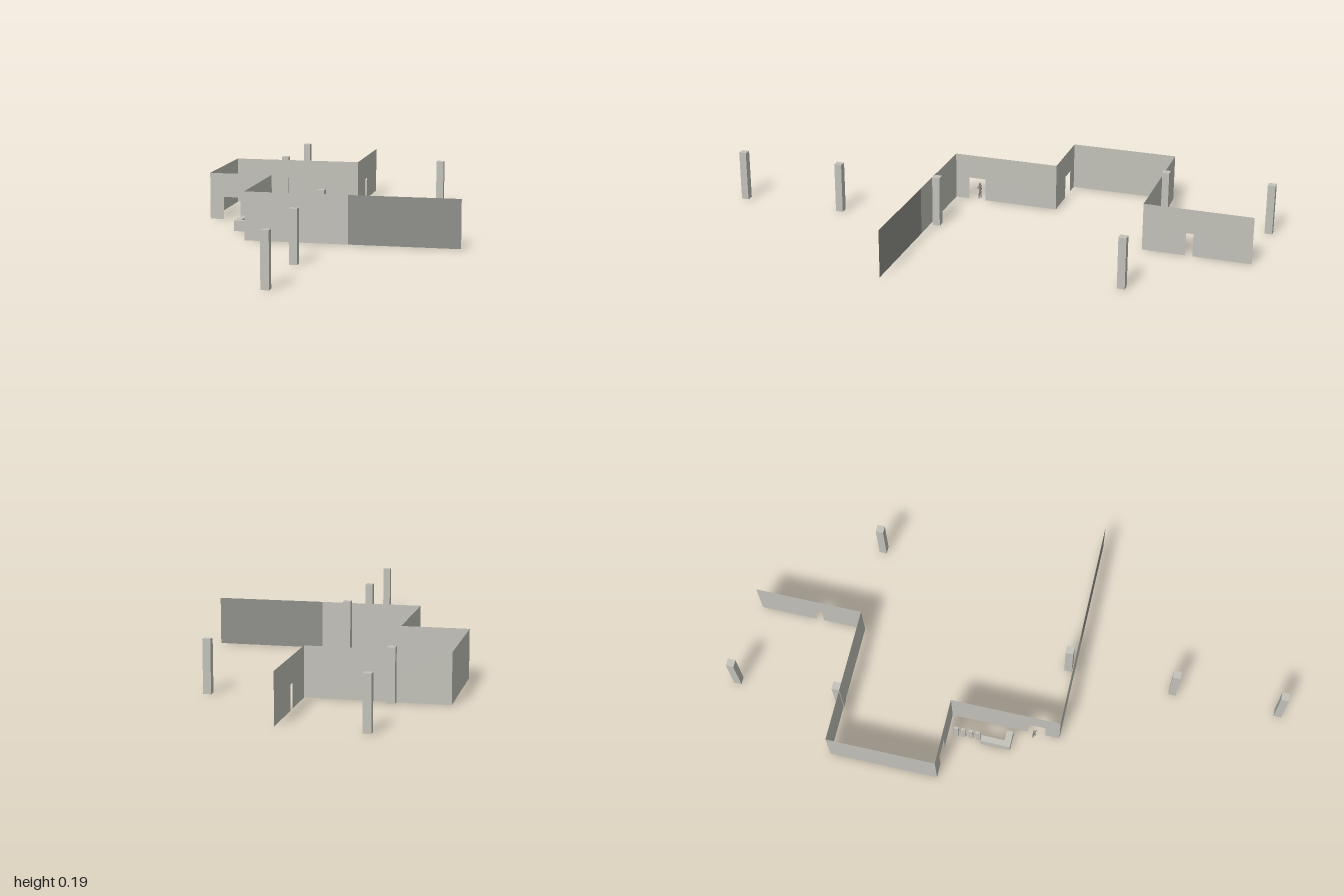
import * as THREE from 'three';

const wallGrey = new THREE.MeshStandardMaterial({ name: 'light grey', color: 0xc2c1b9, side: THREE.DoubleSide });
const darkGrey = new THREE.MeshStandardMaterial({ name: 'dark grey', color: 0x8e8f89, side: THREE.DoubleSide });

const WALL_H = 0.178, DOOR_H = 0.086, COLUMN_H = 0.19, COLUMN_W = 0.028;

function add(parent, name, geometry, material, x = 0, y = 0, z = 0) {
  const mesh = new THREE.Mesh(geometry, material);
  mesh.name = name;
  mesh.position.set(x, y, z);
  parent.add(mesh);
  return mesh;
}

// Thin sheet wall from a to b (x, z), with an optional doorway [start, end] along it
function addWall(parent, name, a, b, material, door) {
  const dx = b[0] - a[0], dz = b[1] - a[1], length = Math.hypot(dx, dz);
  const outline = [[0, 0]];
  if (door) outline.push([door[0], 0], [door[0], DOOR_H], [door[1], DOOR_H], [door[1], 0]);
  outline.push([length, 0], [length, WALL_H], [0, WALL_H]);
  const shape = new THREE.Shape(outline.map(p => new THREE.Vector2(...p)));
  const wall = add(parent, name, new THREE.ShapeGeometry(shape), material, a[0], 0, a[1]);
  wall.rotation.y = Math.atan2(-dz, dx);
}

// Tapered limb between two points
function addLimb(parent, name, from, to, r0, r1) {
  const a = new THREE.Vector3(...from), b = new THREE.Vector3(...to);
  const limb = add(parent, name, new THREE.CylinderGeometry(r1, r0, a.distanceTo(b), 6), darkGrey);
  limb.position.copy(a).lerp(b, 0.5);
  limb.quaternion.setFromUnitVectors(new THREE.Vector3(0, 1, 0), b.sub(a).normalize());
}

function createPerson() {
  const person = new THREE.Group();
  person.name = 'person';
  add(person, 'head', new THREE.SphereGeometry(0.0042, 8, 6), darkGrey, 0, 0.0605, 0).scale.y = 1.15;
  addLimb(person, 'torso', [0, 0.031, 0], [0, 0.055, 0], 0.0042, 0.005);
  addLimb(person, 'legLeft', [0.005, 0, 0], [0.002, 0.032, 0], 0.0018, 0.003);
  addLimb(person, 'legRight', [-0.006, 0, 0], [-0.002, 0.032, 0], 0.0018, 0.003);
  addLimb(person, 'upperArmLeft', [0.004, 0.053, 0], [0.01, 0.042, 0], 0.002, 0.0015);
  addLimb(person, 'forearmLeft', [0.01, 0.042, 0], [0.011, 0.05, 0], 0.0015, 0.0012);
  addLimb(person, 'armRight', [-0.004, 0.053, 0], [-0.008, 0.032, 0], 0.002, 0.0012);
  person.position.set(-0.283, 0, 0.13);
  person.rotation.y = -0.6;
  return person;
}

export function createModel() {
  const model = new THREE.Group();
  model.name = 'lobby';

  // Stepped run of walls
  const walls = new THREE.Group();
  walls.name = 'walls';
  model.add(walls);
  addWall(walls, 'rearWall', [-0.014, -0.978], [-0.014, -0.58], wallGrey, [0.213, 0.239]);
  addWall(walls, 'backWall', [-0.014, -0.58], [-0.513, -0.58], wallGrey);
  addWall(walls, 'sideWall', [-0.513, -0.58], [-0.513, -0.18], wallGrey);
  addWall(walls, 'middleWall', [-0.513, -0.18], [-0.27, -0.18], wallGrey, [0.053, 0.119]);
  addWall(walls, 'entranceWall', [-0.27, -0.18], [-0.27, 0.222], wallGrey, [0.284, 0.349]);
  addWall(walls, 'frontWall', [-0.27, 0.222], [0.108, 0.222], wallGrey);
  addWall(walls, 'darkFrontWall', [0.108, 0.222], [0.512, 0.222], darkGrey);

  // Free-standing square columns
  const columnGeometry = new THREE.BoxGeometry(COLUMN_W, COLUMN_H, COLUMN_W);
  const columns = [[-0.314, -0.986], [-0.314, -0.592], [0.317, -0.592], [0.006, 0.197], [0, 0.592], [0.004, 0.986]];
  for (const [x, z] of columns) add(model, 'column', columnGeometry, wallGrey, x, COLUMN_H / 2, z);

  // L-shaped reception desk
  const deskOutline = [[-0.355, 0.055], [-0.355, -0.055], [-0.333, -0.055], [-0.333, 0.031], [-0.295, 0.031], [-0.295, 0.055]];
  const deskShape = new THREE.Shape(deskOutline.map(([x, z]) => new THREE.Vector2(x, -z)));
  const desk = add(model, 'desk', new THREE.ExtrudeGeometry(deskShape, { depth: 0.039, bevelEnabled: false }), wallGrey);
  desk.rotation.x = -Math.PI / 2;

  // Row of slim gate panels
  const panelGeometry = new THREE.BoxGeometry(0.008, 0.078, 0.016);
  for (let i = 0; i < 4; i++) add(model, 'gatePanel', panelGeometry, wallGrey, -0.338, 0.039, -0.148 + i * 0.027);

  model.add(createPerson());
  return model;
}
